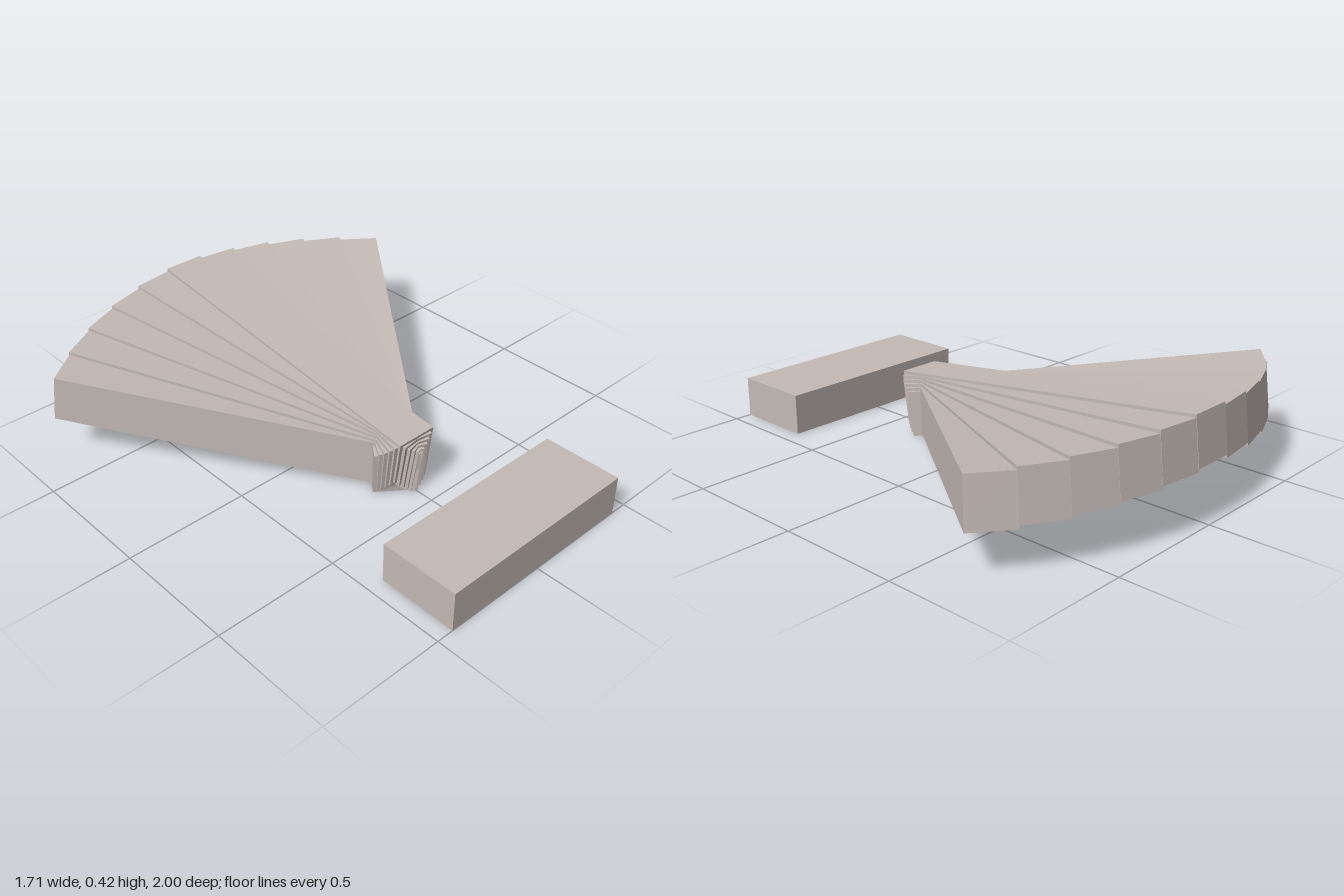
import * as THREE from 'three';

export function createModel() {
  const model = new THREE.Group();
  const stone = new THREE.MeshStandardMaterial({ color: 0xc4bab5 });
  stone.name = 'warm grey';

  // Low block standing in front of the fan
  const block = new THREE.Mesh(new THREE.BoxGeometry(0.862, 0.163, 0.322), stone);
  block.name = 'frontBlock';
  block.position.set(0, 0.0815, 0.839);
  model.add(block);

  // Fan of tilted beams; each steps down away from the middle one
  const fan = new THREE.Group();
  fan.name = 'beamFan';
  fan.position.z = 0.293;
  model.add(fan);

  const beamGeometry = new THREE.BoxGeometry(0.171, 0.187, 1.4);
  const tilt = THREE.MathUtils.degToRad(7);
  const step = THREE.MathUtils.degToRad(7.5);
  for (let i = -5; i <= 5; i++) {
    const spoke = new THREE.Group();
    spoke.name = 'spoke';
    spoke.rotation.y = i * step;
    spoke.position.y = 0.238 - 0.012 * Math.abs(i);
    const beam = new THREE.Mesh(beamGeometry, stone);
    beam.name = 'beam';
    beam.position.z = -0.587;
    beam.rotation.x = tilt;
    spoke.add(beam);
    fan.add(spoke);
  }
  return model;
}
